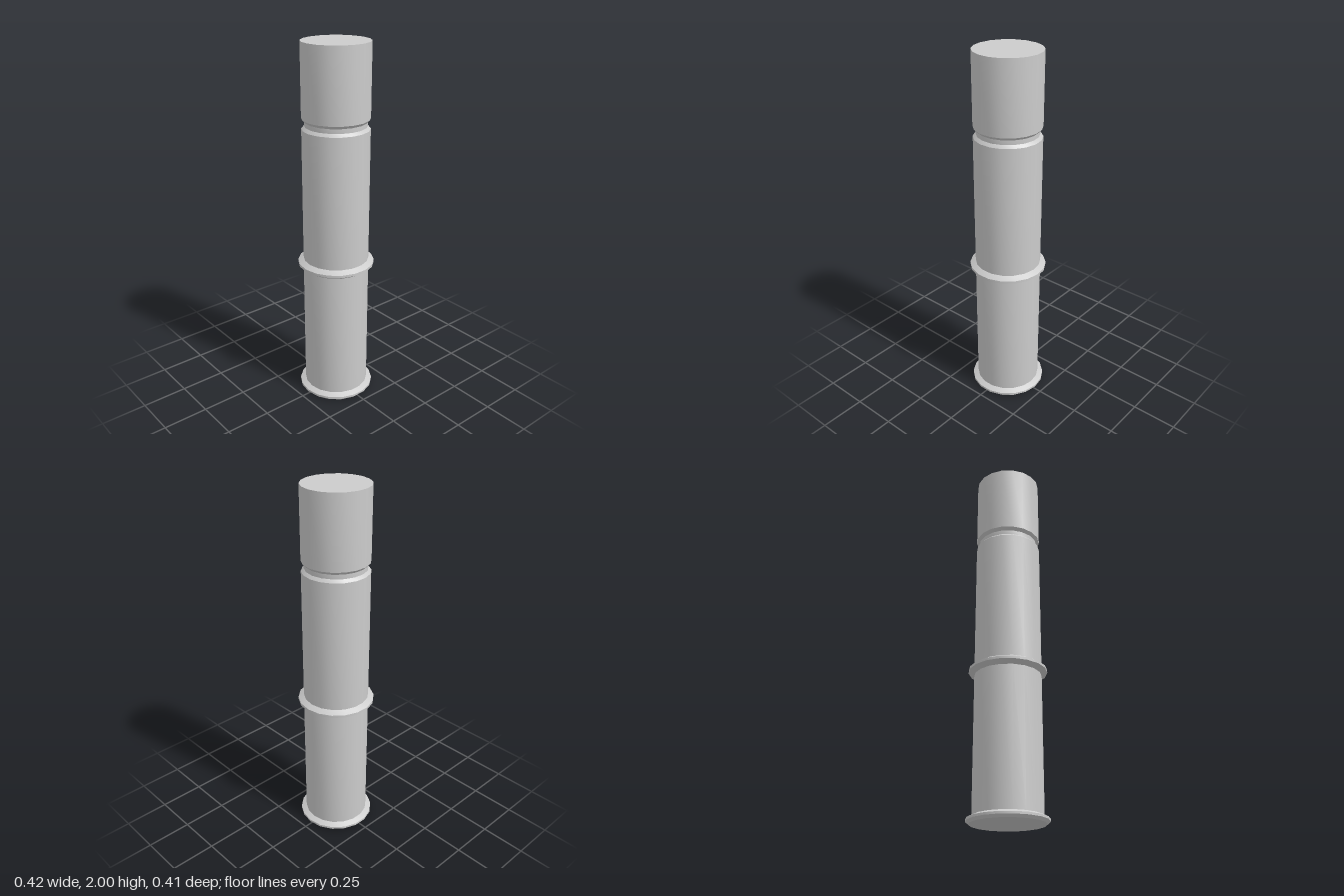
import * as THREE from 'three';
import { toCreasedNormals } from 'three/addons/utils/BufferGeometryUtils.js';

const SIDES = 18;
const R = 0.18; // shaft radius

export function createModel() {
  const group = new THREE.Group();
  const material = new THREE.MeshStandardMaterial({ color: 0xcccccc });

  // Turned section, [radius, height] from bottom to top: smooth around, sharp between bands
  function turned(name, profile) {
    const points = profile.map(([r, y]) => new THREE.Vector2(r, y));
    const lathe = new THREE.LatheGeometry(points, SIDES, Math.PI / 2);
    const mesh = new THREE.Mesh(toCreasedNormals(lathe, THREE.MathUtils.degToRad(24)), material);
    mesh.name = name;
    group.add(mesh);
  }

  // Closed foot with a bevelled flange
  turned('baseFlange', [[0, 0], [0.195, 0], [0.21, 0.014], [0.21, 0.026], [R, 0.04]]);
  turned('lowerShaft', [[R, 0.04], [R, 0.775]]);
  // Raised band around the middle
  turned('middleRing', [[R, 0.775], [0.21, 0.794], [0.21, 0.808], [R, 0.825]]);
  turned('upperShaft', [[R, 0.825], [R, 1.555]]);
  // Recessed neck below the cap
  turned('neckGroove', [[R, 1.555], [0.165, 1.57], [0.165, 1.594], [R, 1.61]]);
  turned('topCap', [[R, 1.61], [R, 2], [0, 2]]);

  return group;
}
